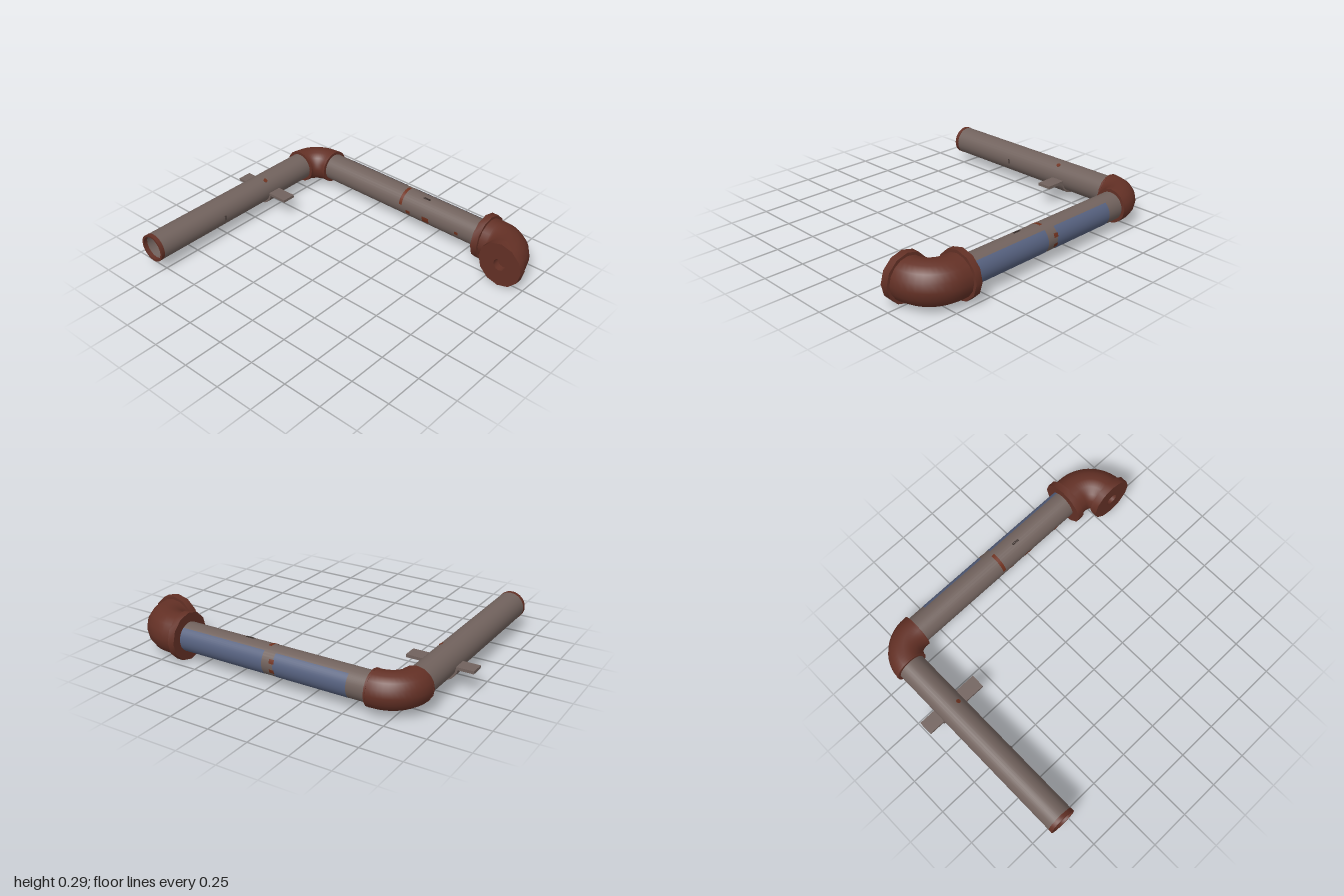
import * as THREE from 'three';
import { toCreasedNormals } from 'three/addons/utils/BufferGeometryUtils.js';

const Y = 0.15;        // height of every pipe axis
const R = 0.088;       // pipe radius
const AX = -0.805;     // z of the back pipe axis
const BX = 0.648;      // x of the side pipe axis

const material = (name, color, side = THREE.FrontSide) => {
  const m = new THREE.MeshStandardMaterial({ color, side });
  m.name = name;
  return m;
};

export function createModel() {
  const group = new THREE.Group();
  const steel = material('worn steel', 0x71625d);
  const rust = material('rusty iron', 0x633025, THREE.DoubleSide);
  const blue = material('faded blue paint', 0x56617f, THREE.DoubleSide);
  const stain = material('rust stain', 0x70321f, THREE.DoubleSide);
  const dark = material('dark scratch', 0x3a302d);

  const add = (name, geometry, mat, x = 0, y = Y, z = 0) => {
    const mesh = new THREE.Mesh(geometry, mat);
    mesh.name = name;
    mesh.position.set(x, y, z);
    group.add(mesh);
    return mesh;
  };

  // Hollow ring or pipe running along +x or +z from its origin
  const ring = (inner, outer, length, sides, axis) => {
    const profile = [[inner, 0], [outer, 0], [outer, length], [inner, length], [inner, 0]]
      .map(([r, h]) => new THREE.Vector2(r, h));
    const g = toCreasedNormals(new THREE.LatheGeometry(profile, sides), 0.7);
    return axis === 'x' ? g.rotateZ(-Math.PI / 2) : g.rotateX(Math.PI / 2);
  };

  // Bent fitting: short straight run along z, then a quarter turn towards -x
  const elbow = (zStart, dir, straight, bendX, bendZ, radius) => {
    const k = 0.5523;
    const z1 = zStart + dir * straight, z2 = z1 + dir * bendZ;
    const v = (x, z) => new THREE.Vector3(x, 0, z);
    const path = new THREE.CurvePath();
    path.add(new THREE.LineCurve3(v(BX, zStart), v(BX, z1)));
    path.add(new THREE.CubicBezierCurve3(
      v(BX, z1), v(BX, z1 + dir * bendZ * k), v(BX - bendX * (1 - k), z2), v(BX - bendX, z2)));
    return new THREE.TubeGeometry(path, 14, radius, 16, false);
  };

  // Curved thin patch lying on the side pipe, angle 0 = +x, PI/2 = up
  const patch = (z0, z1, a0, a1) => {
    const g = new THREE.CylinderGeometry(R + 0.0012, R + 0.0012, z1 - z0, 16, 1, true,
      Math.PI / 2 + a0, a1 - a0);
    return g.rotateX(Math.PI / 2).translate(0, 0, (z0 + z1) / 2);
  };

  // Pipes, with a rusty rim on the open end
  add('backPipe', ring(0.076, R, 1.3, 32, 'x'), steel, -0.775, Y, AX);
  add('backPipeRim', ring(0.076, R + 0.001, 0.025, 32, 'x'), rust, -0.8, Y, AX);
  add('sidePipe', ring(0.076, R, 1.3, 32, 'z'), steel, BX, Y, -0.66);

  // Back elbow with its two end rims
  add('backElbow', elbow(-0.627, -1, 0.02, 0.148, -AX - 0.647, 0.107), rust);
  add('backElbowRimSide', ring(0.086, 0.108, 0.012, 16, 'z'), rust, BX, Y, -0.638);
  add('backElbowRimBack', ring(0.086, 0.108, 0.012, 16, 'x'), rust, 0.497, Y, AX);

  // Front elbow with heavy flanges; the free one has a small bore
  const FZ = 0.853;
  add('frontElbow', elbow(0.64, 1, 0.06, 0.153, FZ - 0.7, 0.128), rust);
  add('frontElbowFlangeSide', ring(0.086, 0.147, 0.043, 12, 'z'), rust, BX, Y, 0.608);
  add('frontElbowFlangeEnd', ring(0.04, 0.147, 0.047, 12, 'x'), rust, 0.45, Y, FZ);
  add('boreBottom', new THREE.CircleGeometry(0.045, 16).rotateY(-Math.PI / 2), rust, 0.496, Y, FZ);

  // Strap under the back pipe with a tab on each side
  const strap = new THREE.Shape();
  strap.absarc(0, 0, 0.1, Math.PI, 2 * Math.PI, false);
  strap.absarc(0, 0, R - 0.001, 2 * Math.PI, Math.PI, true);
  const strapGeometry = new THREE.ExtrudeGeometry(strap, {
    depth: 0.09, bevelEnabled: false, curveSegments: 16 });
  add('strap', toCreasedNormals(strapGeometry, 0.7).rotateY(Math.PI / 2), steel, 0.11, Y, AX);
  for (const [name, z0, z1] of [['strapTabBack', -1, -0.89], ['strapTabFront', -0.72, -0.583]]) {
    add(name, new THREE.BoxGeometry(0.09, 0.018, z1 - z0), steel, 0.155, 0.141, (z0 + z1) / 2);
  }

  // Remaining blue paint on the outer side, broken by a bare band
  for (const [z0, z1] of [[0.03, 0.61], [-0.51, -0.045]]) {
    add('bluePaint', patch(z0, z1, -0.98, 0.95), blue, BX);
  }

  // Rust stains on the side pipe
  add('rustStreak', patch(0.008, 0.03, 1.4, 3.0), stain, BX);
  for (const [angle, z, r] of [[0.35, -0.035, 0.016], [-0.35, -0.035, 0.016],
    [3.4, 0.08, 0.016], [3.4, 0.22, 0.026], [3.3, 0.46, 0.014]]) {
    const half = r / R;
    add('rustSpot', patch(z - r, z + r, angle - half * 0.8, angle + half * 0.8), stain, BX);
  }

  // Stain and scratches
  const spot = add('backPipeSpot', new THREE.CylinderGeometry(0.014, 0.014, 0.004, 10), stain,
    0.12, Y + R * Math.sin(1.03), AX + R * Math.cos(1.03));
  spot.rotation.x = Math.PI / 2 - 1.03;
  for (const dx of [-0.004, 0.004]) {
    add('backPipeScratch', new THREE.BoxGeometry(0.003, 0.03, 0.004), dark, -0.28 + dx, Y, AX + R);
    add('sidePipeScratch', new THREE.BoxGeometry(0.004, 0.004, 0.05), dark, 0.63 + dx, Y + R - 0.001, 0.18);
  }

  return group;
}
